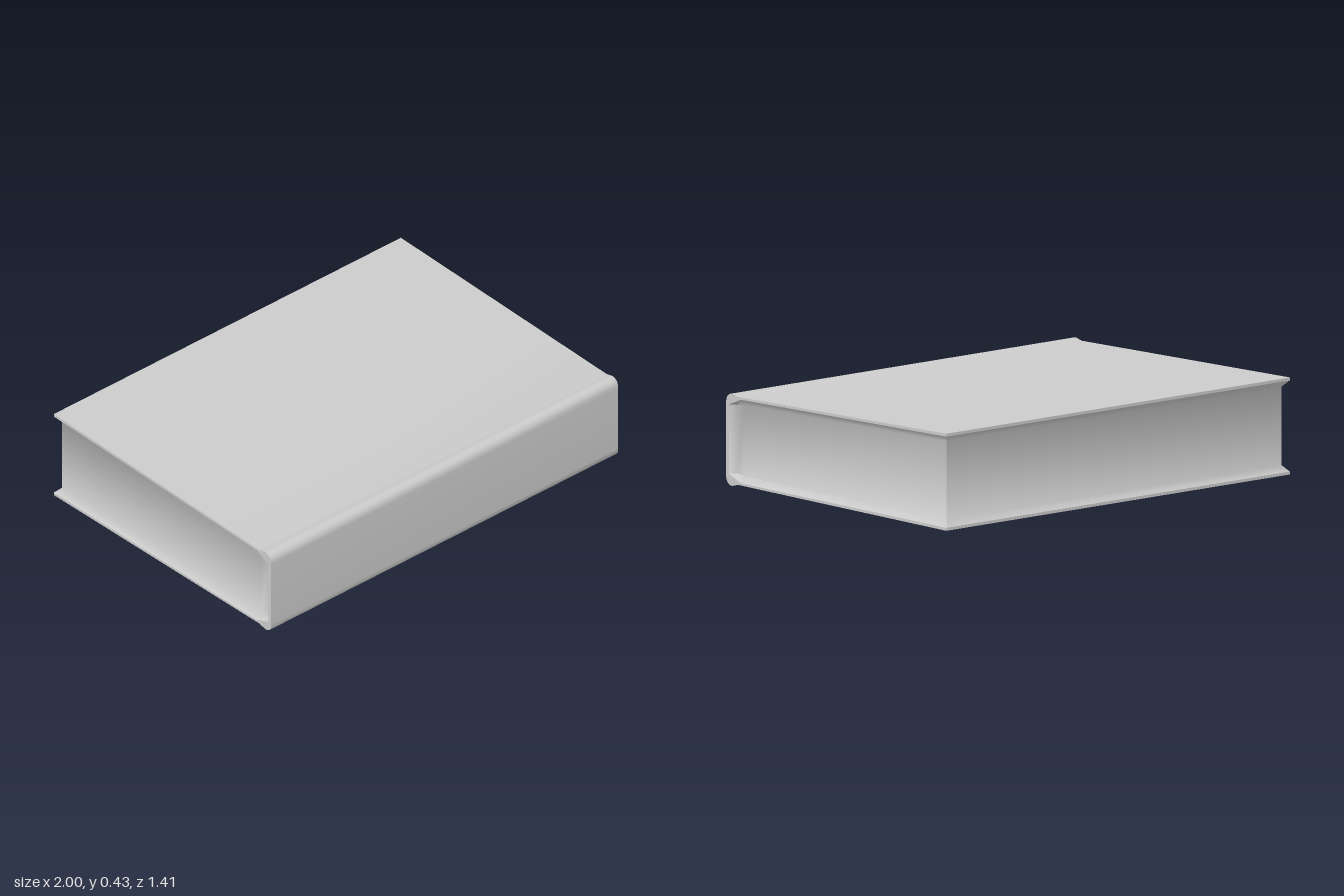
import * as THREE from 'three';
import { toCreasedNormals } from 'three/addons/utils/BufferGeometryUtils.js';

const MID = 0.2125; // half height, plane of symmetry of the book
const material = new THREE.MeshStandardMaterial({ color: 0xcccccc });

// Mirrors the upper half of a [z, y] outline to the lower half
const mirror = (half) => [...half, ...half.map(([z, y]) => [z, 2 * MID - y]).reverse()];

// Inner edge of the cover, and the page block it slopes down to
const lip = mirror([[-0.705, 0.412], [0.61, 0.395], [0.688, 0.365]]);
const pages = mirror([[-0.68, 0.385], [0.61, 0.37], [0.66, 0.363]]);

// Two boards and a rounded spine, as one C-shaped section
function coverGeometry() {
  const outer = mirror([
    [-0.705, 0.425], [0.2, 0.4115], [0.63, 0.405], [0.648, 0.41], [0.668, 0.415],
    [0.685, 0.411], [0.697, 0.402], [0.704, 0.386], [0.705, 0.37],
  ]);
  const section = [...outer, ...[...lip].reverse()];
  const shape = new THREE.Shape(section.map(([z, y]) => new THREE.Vector2(z, y)));
  const geometry = new THREE.ExtrudeGeometry(shape, { depth: 2, bevelEnabled: false });
  geometry.rotateY(-Math.PI / 2).translate(1, 0, 0);
  return toCreasedNormals(geometry, 0.8);
}

// Page block with sloping edges up to the cover on three sides
function pagesGeometry() {
  const positions = [];
  const quad = (a, b, c, d) => [a, b, c, a, c, d].forEach((p) => positions.push(...p));
  const at = (x, [z, y]) => [x, y, z];
  const n = pages.length;

  for (const s of [1, -1]) {
    const face = (a, b, c, d) => (s > 0 ? quad(a, b, c, d) : quad(d, c, b, a));
    const L = lip.map((p) => at(s, p));
    const P = pages.map((p) => at(s * 0.975, p));
    // Sloping rim along top board, spine and bottom board
    for (let i = 0; i < n - 1; i++) face(L[i], P[i], P[i + 1], L[i + 1]);
    // Flat page side, in vertical strips
    for (let i = 0; i < n / 2 - 1; i++) face(P[i], P[n - 1 - i], P[n - 2 - i], P[i + 1]);
  }

  // Back: slope, flat pages, slope
  const back = [[1, lip[0]], [0.975, pages[0]], [0.975, pages[n - 1]], [1, lip[n - 1]]];
  for (let i = 0; i < 3; i++) {
    const [xa, a] = back[i];
    const [xb, b] = back[i + 1];
    quad(at(xa, a), at(xb, b), at(-xb, b), at(-xa, a));
  }

  const geometry = new THREE.BufferGeometry();
  geometry.setAttribute('position', new THREE.Float32BufferAttribute(positions, 3));
  return toCreasedNormals(geometry, 0.95);
}

export function createModel() {
  const book = new THREE.Group();
  book.name = 'book';
  for (const [name, geometry] of [['cover', coverGeometry()], ['pages', pagesGeometry()]]) {
    const mesh = new THREE.Mesh(geometry, material);
    mesh.name = name;
    book.add(mesh);
  }
  // Page sides stay visible from either direction
  book.getObjectByName('pages').material = material.clone();
  book.getObjectByName('pages').material.side = THREE.DoubleSide;
  return book;
}
